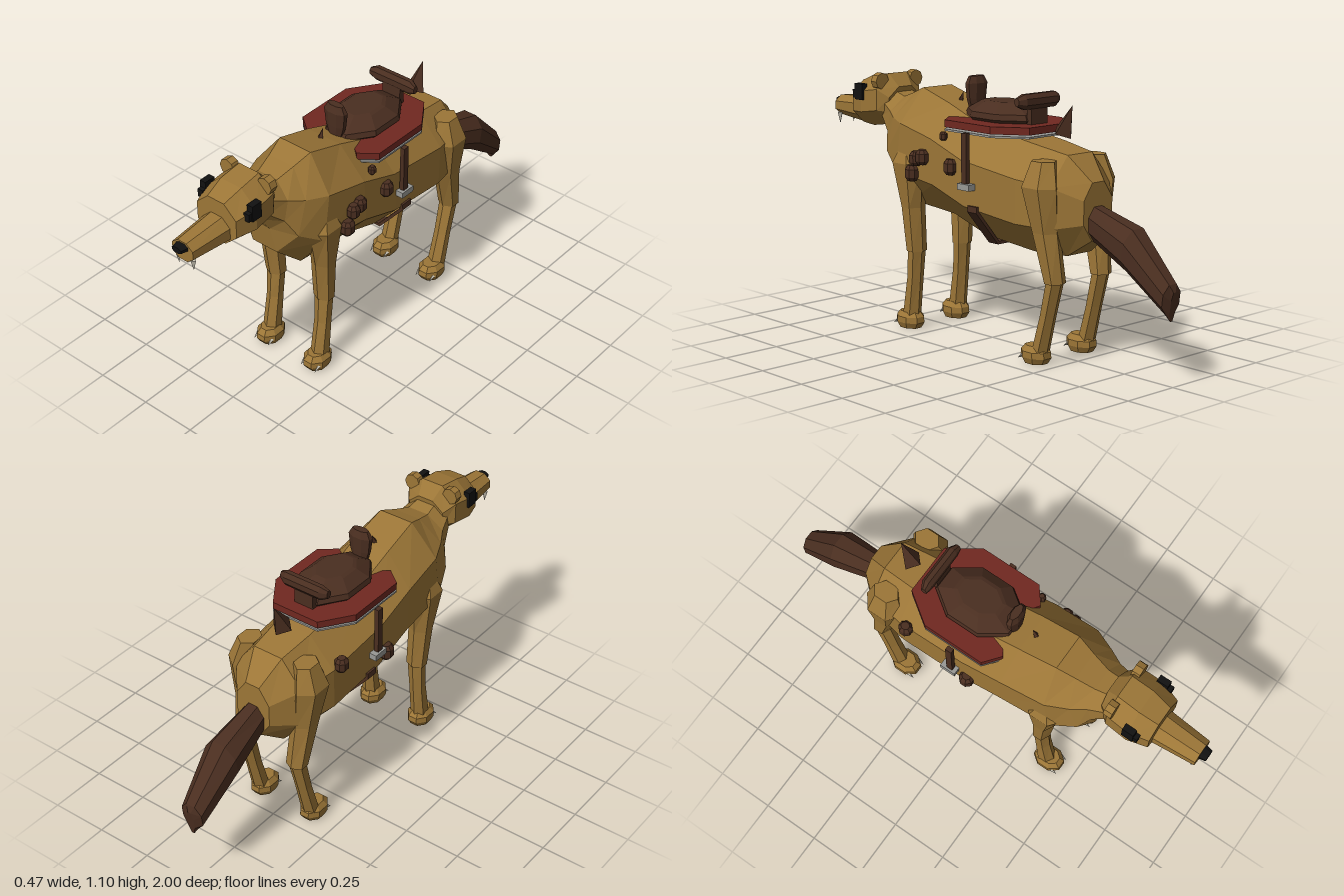
import * as THREE from 'three';

const paint = (name, color) => {
  const m = new THREE.MeshStandardMaterial({ color, flatShading: true });
  m.name = name;
  return m;
};

// Skins a list of closed rings (arrays of [x, y, z]) with flat facets and end caps
function loft(rings) {
  const pos = [], n = rings[0].length;
  const tri = (a, b, c) => pos.push(...a, ...b, ...c);
  for (let r = 0; r < rings.length - 1; r++) {
    for (let i = 0; i < n; i++) {
      const j = (i + 1) % n, A = rings[r], B = rings[r + 1];
      tri(A[i], A[j], B[j]);
      tri(A[i], B[j], B[i]);
    }
  }
  const last = rings[rings.length - 1];
  for (let i = 1; i < n - 1; i++) {
    tri(rings[0][0], rings[0][i + 1], rings[0][i]);
    tri(last[0], last[i], last[i + 1]);
  }
  // Turn the skin outward if the enclosed volume is negative
  let vol = 0;
  const a = new THREE.Vector3(), b = new THREE.Vector3(), c = new THREE.Vector3();
  for (let i = 0; i < pos.length; i += 9) {
    vol += a.fromArray(pos, i).dot(b.fromArray(pos, i + 3).cross(c.fromArray(pos, i + 6)));
  }
  if (vol < 0) {
    for (let i = 0; i < pos.length; i += 9) {
      for (let k = 3; k < 6; k++) [pos[i + k], pos[i + k + 3]] = [pos[i + k + 3], pos[i + k]];
    }
  }
  const g = new THREE.BufferGeometry();
  g.setAttribute('position', new THREE.Float32BufferAttribute(pos, 3));
  g.computeVertexNormals();
  return g;
}

// Upright ring with a flat top: [zTop, yTop, zBottom, yBottom, halfWidth]
function bodyRing([zt, yt, zb, yb, w]) {
  return Array.from({ length: 8 }, (_, i) => {
    const t = (i + 0.5) * Math.PI / 4, k = 1 / Math.cos(Math.PI / 8);
    const v = (1 + Math.cos(t) * k) / 2;
    return [Math.sin(t) * k * w, yb + (yt - yb) * v, zb + (zt - zb) * v];
  });
}

// Level ring: [y, x, z, halfX, halfZ]
function levelRing([y, x, z, rx, rz], n = 8) {
  return Array.from({ length: n }, (_, i) => {
    const t = (i + 0.5) * 2 * Math.PI / n, k = 1 / Math.cos(Math.PI / n);
    return [x + Math.cos(t) * k * rx, y, z + Math.sin(t) * k * rz];
  });
}

export function createModel() {
  const fur = paint('fur', 0x9c7637), leather = paint('leather', 0x4a2e20);
  const red = paint('saddleRed', 0x702820), metal = paint('metal', 0x999995);
  const ivory = paint('ivory', 0xc9c3b4), black = paint('black', 0x111111);
  const model = new THREE.Group();
  const add = (name, geo, mat, x = 0, y = 0, z = 0) => {
    const m = new THREE.Mesh(geo, mat);
    m.name = name;
    m.position.set(x, y, z);
    model.add(m);
    return m;
  };
  const box = (name, mat, w, h, d, x, y, z) => add(name, new THREE.BoxGeometry(w, h, d), mat, x, y, z);

  // Trunk and neck
  add('body', loft([
    [-0.60, 0.74, -0.60, 0.51, 0.08], [-0.50, 0.84, -0.50, 0.44, 0.165],
    [-0.34, 0.865, -0.33, 0.435, 0.195], [-0.02, 0.91, -0.05, 0.46, 0.20],
    [0.17, 0.98, 0.14, 0.52, 0.20], [0.34, 1.03, 0.41, 0.54, 0.19],
    [0.42, 1.00, 0.53, 0.65, 0.15], [0.50, 0.975, 0.55, 0.77, 0.115],
    [0.60, 1.00, 0.60, 0.84, 0.09],
  ].map(bodyRing)), fur);

  // Head and muzzle
  add('head', loft([
    [0.55, 1.01, 0.57, 0.86, 0.085], [0.60, 1.065, 0.60, 0.845, 0.12],
    [0.70, 1.05, 0.70, 0.83, 0.125], [0.785, 1.02, 0.785, 0.835, 0.10],
  ].map(bodyRing)), fur);
  add('muzzle', loft([
    [0.75, 0.955, 0.75, 0.83, 0.07], [0.97, 0.935, 0.97, 0.85, 0.053],
  ].map(bodyRing)), fur);
  add('nose', loft([
    [0.96, 0.93, 0.96, 0.895, 0.032], [1.0, 0.925, 1.0, 0.9, 0.024],
  ].map(bodyRing)), black);

  // Tail
  add('tail', loft([
    [-0.58, 0.65, -0.58, 0.515, 0.05], [-0.81, 0.585, -0.78, 0.42, 0.075],
    [-0.99, 0.40, -0.975, 0.28, 0.05], [-1.0, 0.37, -0.985, 0.255, 0.015],
  ].map(bodyRing)), leather);

  for (const s of [1, -1]) {
    // Ears, eyes and fangs
    const ear = add('ear', new THREE.CylinderGeometry(0.036, 0.036, 0.035, 8), fur, s * 0.095, 1.035, 0.605);
    ear.rotation.x = Math.PI / 2;
    box('eye', black, 0.028, 0.07, 0.05, s * 0.12, 0.983, 0.705);
    box('eyeCorner', black, 0.026, 0.035, 0.025, s * 0.118, 0.972, 0.735);
    const fang = add('fang', new THREE.ConeGeometry(0.014, 0.05, 4), ivory, s * 0.038, 0.835, 0.955);
    fang.rotation.x = Math.PI;

    // Legs, split at the knee
    const leg = (name, rows) => add(name, loft(rows.map(([y, x, z, rx, rz]) =>
      levelRing([y, s * x, z, rx, rz], 6))), fur);
    leg('frontUpperLeg', [[0.78, 0.15, 0.35, 0.035, 0.04], [0.72, 0.155, 0.35, 0.052, 0.075],
      [0.53, 0.138, 0.34, 0.045, 0.042], [0.34, 0.13, 0.33, 0.04, 0.033]]);
    leg('frontLowerLeg', [[0.345, 0.13, 0.33, 0.036, 0.028], [0.22, 0.131, 0.34, 0.032, 0.028],
      [0.05, 0.132, 0.363, 0.034, 0.035]]);
    leg('hindUpperLeg', [[0.82, 0.14, -0.44, 0.04, 0.05], [0.72, 0.16, -0.44, 0.058, 0.077],
      [0.54, 0.142, -0.457, 0.046, 0.053], [0.34, 0.13, -0.497, 0.04, 0.035]]);
    leg('hindLowerLeg', [[0.35, 0.13, -0.497, 0.034, 0.03], [0.2, 0.131, -0.46, 0.031, 0.028],
      [0.05, 0.132, -0.42, 0.034, 0.031]]);

    // Paws and claws
    for (const z of [0.375, -0.392]) {
      add('paw', loft([[0, 0.04, 0.05], [0.025, 0.05, 0.066], [0.05, 0.05, 0.064], [0.072, 0.034, 0.045]]
        .map(([y, rx, rz]) => levelRing([y, s * 0.13, z, rx, rz]))), fur);
      for (const dx of [-0.038, 0.038]) {
        const claw = add('claw', new THREE.ConeGeometry(0.009, 0.035, 4), ivory, s * 0.13 + dx, 0.022, z + 0.05);
        claw.rotation.x = Math.PI * 0.68;
      }
    }

    // Hanging strap and its buckle
    box('sideStrap', leather, 0.02, 0.21, 0.028, s * 0.215, 0.79, -0.071);
    box('buckle', metal, 0.034, 0.026, 0.07, s * 0.217, 0.678, -0.075);
  }

  // Girth strap under the belly
  const outer = [[0.208, 0.6], [0.21, 0.575], [0.09, 0.432]];
  const inner = [[0.195, 0.6], [0.197, 0.58], [0.084, 0.445]];
  const flip = p => p.map(([x, y]) => [-x, y]).reverse();
  const girth = new THREE.Shape([...outer, ...flip(outer), ...inner.map(([x, y]) => [-x, y]), ...flip(inner).map(([x, y]) => [-x, y])]
    .slice(0, 6).concat(inner.map(([x, y]) => [-x, y]), flip(inner).map(([x, y]) => [-x, y]).map(([x, y]) => [-x, y]).map(([x, y]) => [Math.abs(x), y]))
    .map(([x, y]) => new THREE.Vector2(x, y)));
  add('girthStrap', new THREE.ExtrudeGeometry(girth, { depth: 0.055, bevelEnabled: false }), leather, 0, 0, -0.13);

  // Saddle cloth with a notch at the front, over a thin metal liner
  const half = [[0.05, 0.07], [0.13, 0.125], [0.2, 0.07], [0.2, -0.2], [0.11, -0.33]];
  const cloth = new THREE.Shape([...half, ...flip(half)].map(([x, z]) => new THREE.Vector2(x, -z)));
  const slab = (name, mat, depth, y) => {
    add(name, new THREE.ExtrudeGeometry(cloth, { depth, bevelEnabled: false }), mat, 0, y, 0).rotation.x = -Math.PI / 2;
  };
  slab('saddleLiner', metal, 0.008, 0.888);
  slab('saddleCloth', red, 0.03, 0.903);

  // Seat, pommel and cantle
  add('seat', loft([[0.925, 0.105, 0.165], [0.945, 0.125, 0.18], [0.968, 0.12, 0.17],
    [1.005, 0.075, 0.105], [1.01, 0.06, 0.09]]
    .map(([y, rx, rz]) => levelRing([y, 0, -0.075, rx, rz]))), leather);
  add('pommel', loft([[0.95, 0.03, 0.018], [1.0, 0.045, 0.022], [1.065, 0.052, 0.026], [1.095, 0.036, 0.016]]
    .map(([y, rx, rz]) => levelRing([y, 0, 0.097, rx, rz]))), leather);
  const roll = [[-0.115, 0.018, -0.262], [-0.085, 0.033, -0.268], [0.085, 0.033, -0.268], [0.115, 0.018, -0.262]];
  add('cantle', loft(roll.map(([x, r, z]) => Array.from({ length: 8 }, (_, i) => {
    const t = (i + 0.5) * Math.PI / 4;
    return [x, 1.027 + Math.cos(t) * r, z + Math.sin(t) * r * 0.75];
  }))), leather);
  box('cantlePost', leather, 0.09, 0.09, 0.025, 0, 0.97, -0.262);

  // Back spikes
  const rearSpike = add('rearSpike', new THREE.ConeGeometry(0.045, 0.125, 4), leather, 0, 0.967, -0.432);
  rearSpike.rotation.x = -0.4;
  const smallSpike = add('smallSpike', new THREE.ConeGeometry(0.015, 0.05, 4), leather, 0, 1.0, 0.185);
  smallSpike.rotation.x = -0.4;

  // Small pouches along the flanks: [x, y, z, size]
  for (const [x, y, z, r] of [
    [0.205, 0.69, 0.27, 0.033], [0.21, 0.755, 0.24, 0.03], [0.21, 0.765, 0.2, 0.031],
    [0.205, 0.745, 0.03, 0.032], [0.185, 0.862, 0.095, 0.018],
    [-0.205, 0.755, -0.3, 0.031], [-0.205, 0.64, 0.0, 0.034],
  ]) {
    add('pouch', loft([[-1, 0.6], [-0.5, 1], [0.5, 1], [1, 0.6]]
      .map(([h, k]) => levelRing([y + h * r, x, z, r * k * 0.85, r * k * 0.9]))), leather);
  }
  return model;
}
